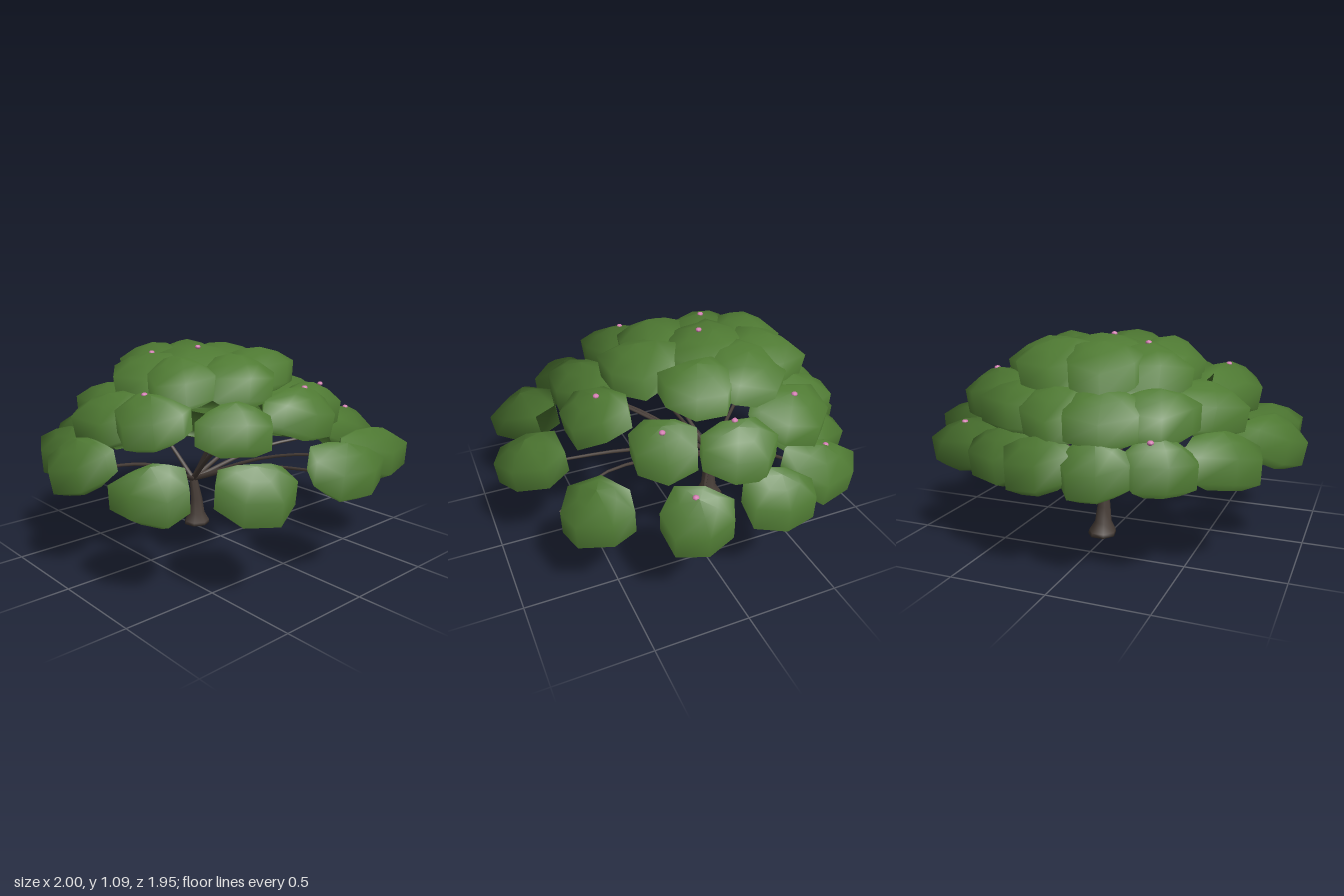
import * as THREE from 'three';

const leaf = new THREE.MeshStandardMaterial({ color: 0x4f7a33 });
leaf.name = 'leafGreen';
const bark = new THREE.MeshStandardMaterial({ color: 0x483e38 });
bark.name = 'barkBrown';
const petal = new THREE.MeshStandardMaterial({ color: 0xd67fb4 });
petal.name = 'blossomPink';

// Leaf clumps by tier: x, y, z, radius
const lowClumps = [
  [0.09, 0.57, 0.80, 0.185], [-0.42, 0.54, 0.70, 0.195], [0.57, 0.53, 0.60, 0.195],
  [-0.74, 0.52, 0.36, 0.195], [0.82, 0.55, 0.20, 0.18], [0.81, 0.54, -0.23, 0.185],
  [0.65, 0.52, -0.56, 0.195], [-0.82, 0.57, -0.11, 0.18], [-0.66, 0.54, -0.46, 0.205],
  [-0.43, 0.55, -0.68, 0.19], [-0.16, 0.53, -0.78, 0.185], [0.12, 0.53, -0.78, 0.185],
  [0.36, 0.53, -0.68, 0.19],
];
const midClumps = [
  [0.14, 0.785, 0.45, 0.185], [-0.26, 0.75, 0.40, 0.2], [0.48, 0.74, 0.23, 0.185],
  [-0.54, 0.785, 0.11, 0.2], [0.62, 0.73, -0.09, 0.195], [0.50, 0.78, -0.45, 0.205],
  [-0.53, 0.74, -0.26, 0.215], [-0.38, 0.74, -0.53, 0.2], [-0.14, 0.74, -0.63, 0.215],
  [0.10, 0.74, -0.63, 0.2], [0.31, 0.75, -0.58, 0.205],
];
const topClumps = [
  [-0.01, 0.93, 0.16, 0.21], [-0.26, 0.925, -0.01, 0.2], [0.31, 0.93, -0.02, 0.205],
  [-0.24, 0.92, -0.30, 0.23], [0.28, 0.935, -0.30, 0.23], [0.03, 0.95, -0.24, 0.27],
  [-0.08, 0.945, -0.49, 0.21], [0.16, 0.945, -0.48, 0.21],
];
const canopyCentre = new THREE.Vector3(0, 0.35, -0.25);
const crown = [0.02, 0.28, -0.27];

// Seven-sided closed clump, leaning a little, with normals bent outward
function makeClump([x, y, z, r], index) {
  const sides = 7;
  const profile = [[0.001, 0.142], [0.5, 0.116], [0.97, 0.062], [0.97, -0.06], [0.55, -0.112], [0.001, -0.13]];
  const pos = [], idx = [];
  profile.forEach(([k, h]) => {
    for (let i = 0; i < sides; i++) {
      const a = (i / sides) * Math.PI * 2 + index * 1.7;
      const wobble = 1 + 0.06 * Math.sin(i * 2.3 + index * 1.9);
      const lift = 0.022 * k * Math.sin(i * 1.9 + index * 2.7);
      pos.push(Math.sin(a) * r * k * wobble, h + lift, Math.cos(a) * r * k * wobble);
    }
  });
  for (let j = 0; j < profile.length - 1; j++) {
    for (let i = 0; i < sides; i++) {
      const a = j * sides + i, b = j * sides + (i + 1) % sides;
      idx.push(a, a + sides, b, b, a + sides, b + sides);
    }
  }
  const geo = new THREE.BufferGeometry();
  geo.setAttribute('position', new THREE.Float32BufferAttribute(pos, 3));
  geo.setIndex(idx);
  const out = new THREE.Vector3(x, 0, z + 0.25).normalize();
  const axis = new THREE.Vector3(out.z, 0, -out.x).normalize();
  const lean = 0.12 + 0.08 * Math.sin(index * 2.1);
  geo.applyMatrix4(new THREE.Matrix4().makeRotationAxis(axis, lean));
  geo.translate(x, y, z);
  geo.computeVertexNormals();
  const p = new THREE.Vector3(), n = new THREE.Vector3();
  for (let i = 0; i < pos.length / 3; i++) {
    p.fromBufferAttribute(geo.attributes.position, i).sub(canopyCentre).normalize();
    n.fromBufferAttribute(geo.attributes.normal, i).lerp(p, 0.6).normalize();
    geo.attributes.normal.setXYZ(i, n.x, n.y, n.z);
  }
  const mesh = new THREE.Mesh(geo, leaf);
  mesh.name = 'leafClump';
  return mesh;
}

// Tapered branch along a curve
function makeBranch(points, r0, r1) {
  const curve = new THREE.CatmullRomCurve3(points.map(p => new THREE.Vector3(...p)));
  const segments = 10, sides = 6;
  const geo = new THREE.TubeGeometry(curve, segments, 1, sides);
  const pos = geo.attributes.position, v = new THREE.Vector3();
  for (let i = 0; i < pos.count; i++) {
    const t = Math.floor(i / (sides + 1)) / segments;
    const c = curve.getPointAt(t);
    v.fromBufferAttribute(pos, i).sub(c).multiplyScalar(r0 + (r1 - r0) * t).add(c);
    pos.setXYZ(i, v.x, v.y, v.z);
  }
  const mesh = new THREE.Mesh(geo, bark);
  mesh.name = 'branch';
  return mesh;
}

export function createModel() {
  const tree = new THREE.Group();
  tree.name = 'tree';

  // Trunk with a flared foot and a slight bend
  const trunkProfile = [[0.001, 0], [0.078, 0], [0.074, 0.02], [0.046, 0.07], [0.036, 0.16], [0.024, 0.29]];
  const trunkGeo = new THREE.LatheGeometry(trunkProfile.map(p => new THREE.Vector2(...p)), 7);
  const tp = trunkGeo.attributes.position;
  for (let i = 0; i < tp.count; i++) {
    const t = tp.getY(i) / 0.29;
    tp.setX(i, tp.getX(i) + 0.035 - 0.015 * t);
    tp.setZ(i, tp.getZ(i) - 0.26 + 0.05 * t - 0.06 * t * t);
  }
  const trunk = new THREE.Mesh(trunkGeo, bark);
  trunk.name = 'trunk';
  tree.add(trunk);

  // Canopy tiers
  const canopy = new THREE.Group();
  canopy.name = 'canopy';
  [...lowClumps, ...midClumps, ...topClumps].forEach((c, i) => canopy.add(makeClump(c, i)));
  tree.add(canopy);

  // Branches arching from the trunk top, plus one bare twig
  const branches = new THREE.Group();
  branches.name = 'branches';
  const reach = (c, rise) => {
    const end = [c[0], c[1] - 0.02, c[2]];
    const mid = crown.map((v, a) => v + (end[a] - v) * 0.45);
    mid[1] += rise;
    branches.add(makeBranch([crown, mid, end], 0.015, 0.006));
  };
  [0, 3, 4, 5, 6, 7].forEach(i => reach(lowClumps[i], 0.06));
  [1, 8].forEach(i => reach(midClumps[i], 0.03));
  reach(topClumps[0], 0);
  branches.add(makeBranch([crown, [0.18, 0.47, 0.15], [0.3, 0.54, 0.5], [0.45, 0.5, 0.76]], 0.014, 0.005));
  tree.add(branches);

  // Scattered blossoms
  const blossoms = [
    [-0.40, 0.675, -0.73], [0.65, 0.65, -0.59], [0.53, 0.915, -0.45], [-0.24, 1.06, -0.30],
    [-0.01, 1.083, -0.18], [0.55, 0.857, -0.11], [-0.56, 0.92, 0.07], [0.53, 0.87, 0.26],
    [0.82, 0.687, 0.22], [0.17, 0.92, 0.46],
  ];
  const blossomGeo = new THREE.SphereGeometry(0.017, 7, 5).scale(1, 0.7, 1);
  blossoms.forEach(p => {
    const mesh = new THREE.Mesh(blossomGeo, petal);
    mesh.name = 'blossom';
    mesh.position.set(...p);
    tree.add(mesh);
  });
  return tree;
}
